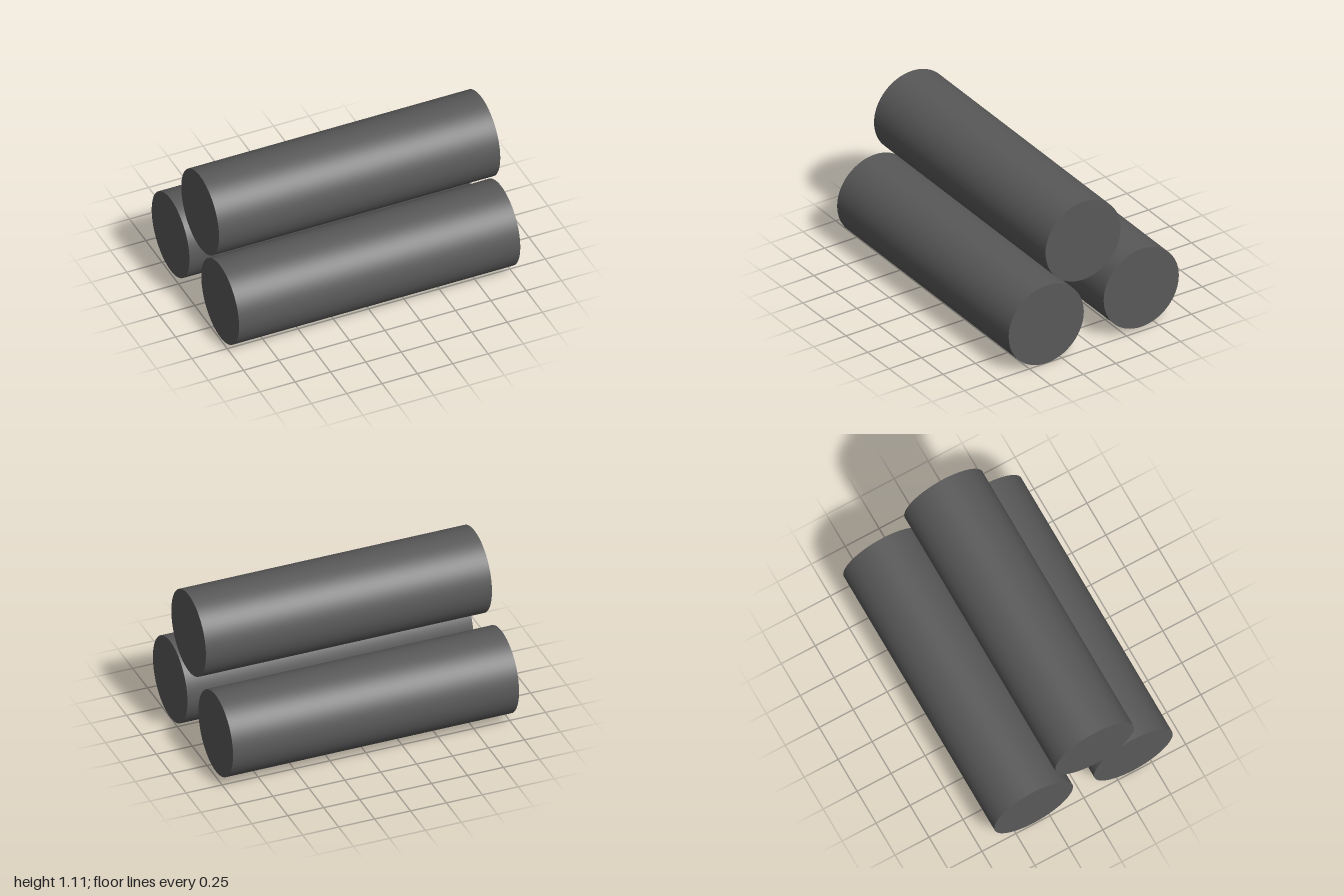
import * as THREE from 'three';

export function createModel() {
  const group = new THREE.Group();
  group.name = 'rollStack';
  const darkGrey = new THREE.MeshStandardMaterial({ color: 0x595959 });
  darkGrey.name = 'darkGrey';

  // Solid round bar lying along x
  const radius = 0.29;
  const bar = new THREE.CylinderGeometry(radius, radius, 1.99, 64).rotateZ(-Math.PI / 2);

  // Two bars side by side with a third resting on top
  const bars = [
    ['frontBar', 0.005, 0.29, 0.37],
    ['backBar', -0.005, 0.315, -0.37],
    ['topBar', -0.003, 0.815, 0.08],
  ];
  for (const [name, x, y, z] of bars) {
    const mesh = new THREE.Mesh(bar, darkGrey);
    mesh.name = name;
    mesh.position.set(x, y, z);
    group.add(mesh);
  }
  return group;
}
